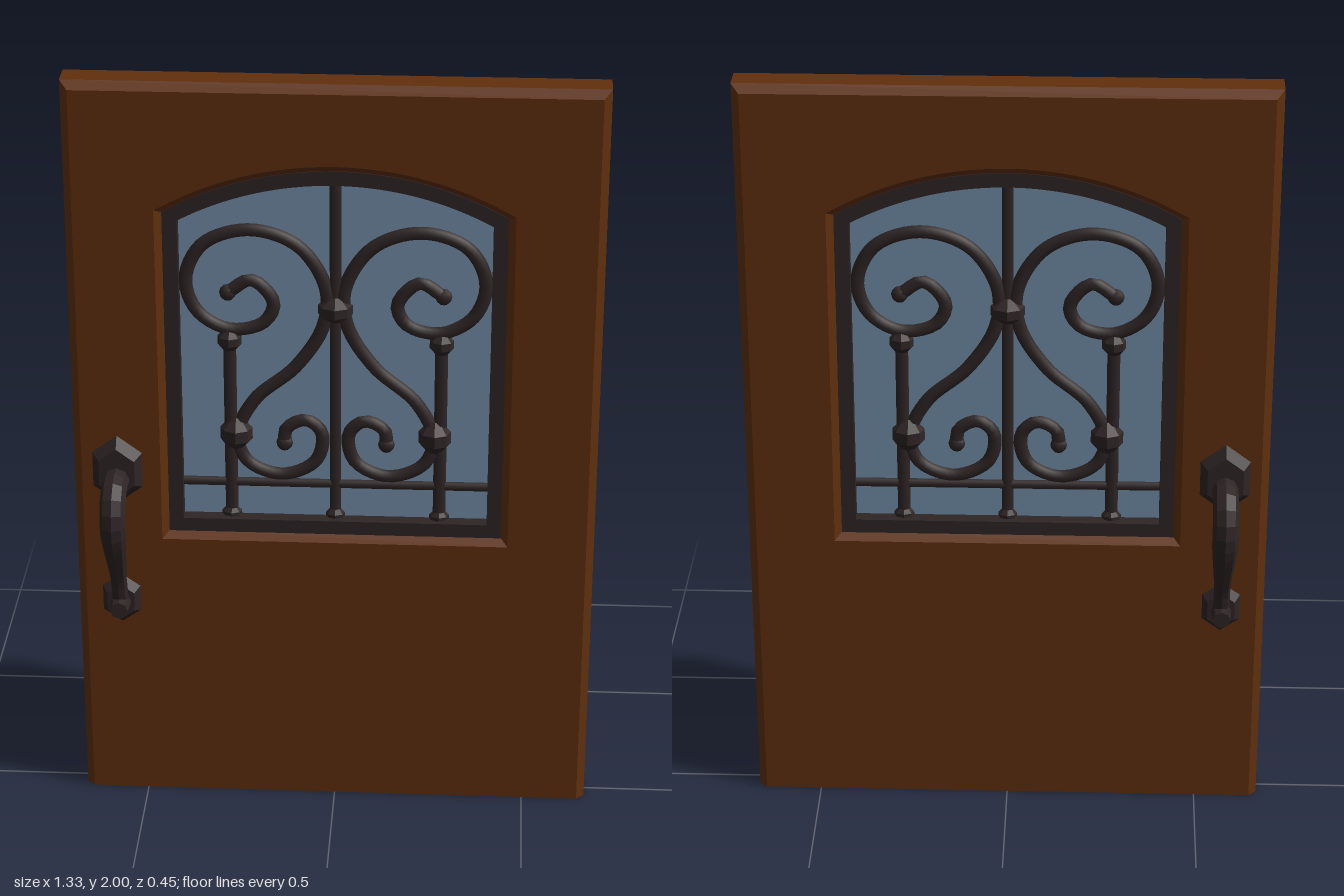
import * as THREE from 'three';

const wood = new THREE.MeshStandardMaterial({ color: 0x61300d });
wood.name = 'wood';
const iron = new THREE.MeshStandardMaterial({ color: 0x2f2525 });
iron.name = 'iron';
const glass = new THREE.MeshStandardMaterial({ color: 0x7491ab });
glass.name = 'glass';

function add(parent, name, geometry, material, x = 0, y = 0, z = 0) {
  const mesh = new THREE.Mesh(geometry, material);
  mesh.name = name;
  mesh.position.set(x, y, z);
  parent.add(mesh);
  return mesh;
}

function faceted(geometry) {
  const g = geometry.index ? geometry.toNonIndexed() : geometry;
  g.computeVertexNormals();
  return g;
}

// Window outline with a shallow arched top, shrunk by an inset
function archShape(inset, Type = THREE.Shape) {
  const w = 0.425 - inset, bottom = 0.778 + inset, cy = 0.932, r = 0.843 - inset;
  const a = Math.acos(w / r);
  const s = new Type();
  s.moveTo(-w, bottom);
  s.lineTo(w, bottom);
  s.lineTo(w, cy + r * Math.sin(a));
  s.absarc(0, cy, r, a, Math.PI - a, false);
  s.closePath();
  return s;
}

// Extrusion centred on z = 0
function slab(shape, depth, bevel = 0) {
  const g = new THREE.ExtrudeGeometry(shape, {
    depth: depth - 2 * bevel, curveSegments: 16, bevelEnabled: bevel > 0,
    bevelSize: bevel, bevelThickness: bevel, bevelOffset: -bevel, bevelSegments: 1,
  });
  return g.translate(0, 0, bevel - depth / 2);
}

// Tube whose radius follows a function of its length
function taperedTube(curve, segments, sides, radiusAt) {
  const g = new THREE.TubeGeometry(curve, segments, 1, sides);
  const p = g.attributes.position, v = new THREE.Vector3();
  for (let i = 0; i <= segments; i++) {
    const c = curve.getPointAt(i / segments);
    for (let j = 0; j <= sides; j++) {
      const k = i * (sides + 1) + j;
      v.fromBufferAttribute(p, k).sub(c).multiplyScalar(radiusAt(i / segments)).add(c);
      p.setXYZ(k, v.x, v.y, v.z);
    }
  }
  return g;
}

// Door leaf with bevelled edges, straight along the bottom
function buildDoor(parent) {
  const s = new THREE.Shape();
  s.moveTo(-0.667, 0);
  s.lineTo(0.667, 0);
  s.lineTo(0.667, 2);
  s.lineTo(-0.667, 2);
  s.closePath();
  s.holes.push(archShape(0, THREE.Path));
  const g = slab(s, 0.11, 0.02);
  const p = g.attributes.position;
  for (let i = 0; i < p.count; i++) if (p.getY(i) < 0.03) p.setY(i, 0);
  g.computeVertexNormals();
  add(parent, 'doorLeaf', g, wood);
}

// Scroll centreline on the +x side
const scroll = [
  [0.27, 1.435], [0.21, 1.47], [0.155, 1.41], [0.18, 1.355], [0.265, 1.335], [0.345, 1.38],
  [0.375, 1.47], [0.33, 1.565], [0.215, 1.605], [0.095, 1.565], [0.025, 1.455], [0.03, 1.35],
  [0.1, 1.235], [0.205, 1.14], [0.25, 1.04], [0.225, 0.965], [0.135, 0.93], [0.05, 0.97],
  [0.035, 1.05], [0.075, 1.085], [0.125, 1.06], [0.13, 1.02],
];

// Collar: a short double cone around a bar
function collar(r, h) {
  const pts = [[0.015, -h], [r, -h * 0.35], [r, h * 0.35], [0.015, h]];
  return faceted(new THREE.LatheGeometry(pts.map(([x, y]) => new THREE.Vector2(x, y)), 8));
}

function buildWindow(parent) {
  const grp = new THREE.Group();
  grp.name = 'window';
  parent.add(grp);
  add(grp, 'glassPane', slab(archShape(0.01), 0.008), glass);
  const frame = archShape(-0.002);
  frame.holes.push(archShape(0.035, THREE.Path));
  add(grp, 'windowFrame', slab(frame, 0.08), iron);

  // Straight bars
  const bar = (r, len) => new THREE.CylinderGeometry(r, r, len, 8);
  add(grp, 'centreBar', bar(0.016, 0.96), iron, 0, 1.27);
  add(grp, 'crossBar', bar(0.014, 0.8).rotateZ(Math.PI / 2), iron, 0, 0.905);
  add(grp, 'centreCollar', collar(0.045, 0.035), iron, 0, 1.395);
  add(grp, 'centreFoot', collar(0.026, 0.02), iron, 0, 0.815);

  for (const side of [1, -1]) {
    add(grp, 'sideBar', bar(0.018, 0.52), iron, side * 0.267, 1.05);
    add(grp, 'sideBarCap', collar(0.032, 0.03), iron, side * 0.267, 1.305);
    add(grp, 'sideBarFoot', collar(0.027, 0.02), iron, side * 0.267, 0.815);
    add(grp, 'scrollCollar', collar(0.043, 0.045), iron, side * 0.253, 1.045);
    const curve = new THREE.CatmullRomCurve3(
      scroll.map(([x, y]) => new THREE.Vector3(side * x, y, 0)));
    add(grp, 'scroll', new THREE.TubeGeometry(curve, 110, 0.019, 8), iron);
    for (const [x, y] of [scroll[0], scroll[scroll.length - 1]])
      add(grp, 'scrollTip', new THREE.SphereGeometry(0.023, 8, 6), iron, side * x, y);
  }
}

// Tapered six-sided mounting plate facing +z
function mountPlate(width, height, depth) {
  const r = width / Math.sqrt(3);
  const g = new THREE.CylinderGeometry(r * 0.7, r, depth, 6).rotateX(Math.PI / 2);
  return faceted(g.scale(1, height / (2 * r), 1));
}

// Pull handle for one face of the door
function buildHandle() {
  const grp = new THREE.Group();
  grp.name = 'handle';
  add(grp, 'upperPlate', mountPlate(0.13, 0.195, 0.028), iron, 0, 0.957, 0.067);
  add(grp, 'lowerPlate', mountPlate(0.1, 0.145, 0.026), iron, 0, 0.582, 0.066);
  const path = [[0.937, 0.06], [0.943, 0.13], [0.925, 0.172], [0.87, 0.192],
    [0.81, 0.178], [0.72, 0.135], [0.645, 0.1], [0.585, 0.085]];
  const curve = new THREE.CatmullRomCurve3(path.map(([y, z]) => new THREE.Vector3(0, y, z)));
  const radius = (t) => (t < 0.45 ? 0.033 : 0.033 - 0.012 * Math.min(1, (t - 0.45) / 0.35));
  add(grp, 'grip', faceted(taperedTube(curve, 16, 8, radius)), iron);
  const foot = new THREE.CylinderGeometry(0.023, 0.028, 0.07, 8).rotateX(Math.PI / 2);
  add(grp, 'gripFoot', faceted(foot), iron, 0, 0.583, 0.095);
  return grp;
}

export function createModel() {
  const model = new THREE.Group();
  model.name = 'door';
  buildDoor(model);
  buildWindow(model);
  for (const turn of [0, Math.PI]) {
    const handle = buildHandle();
    handle.position.x = -0.555;
    handle.rotation.y = turn;
    model.add(handle);
  }
  return model;
}
